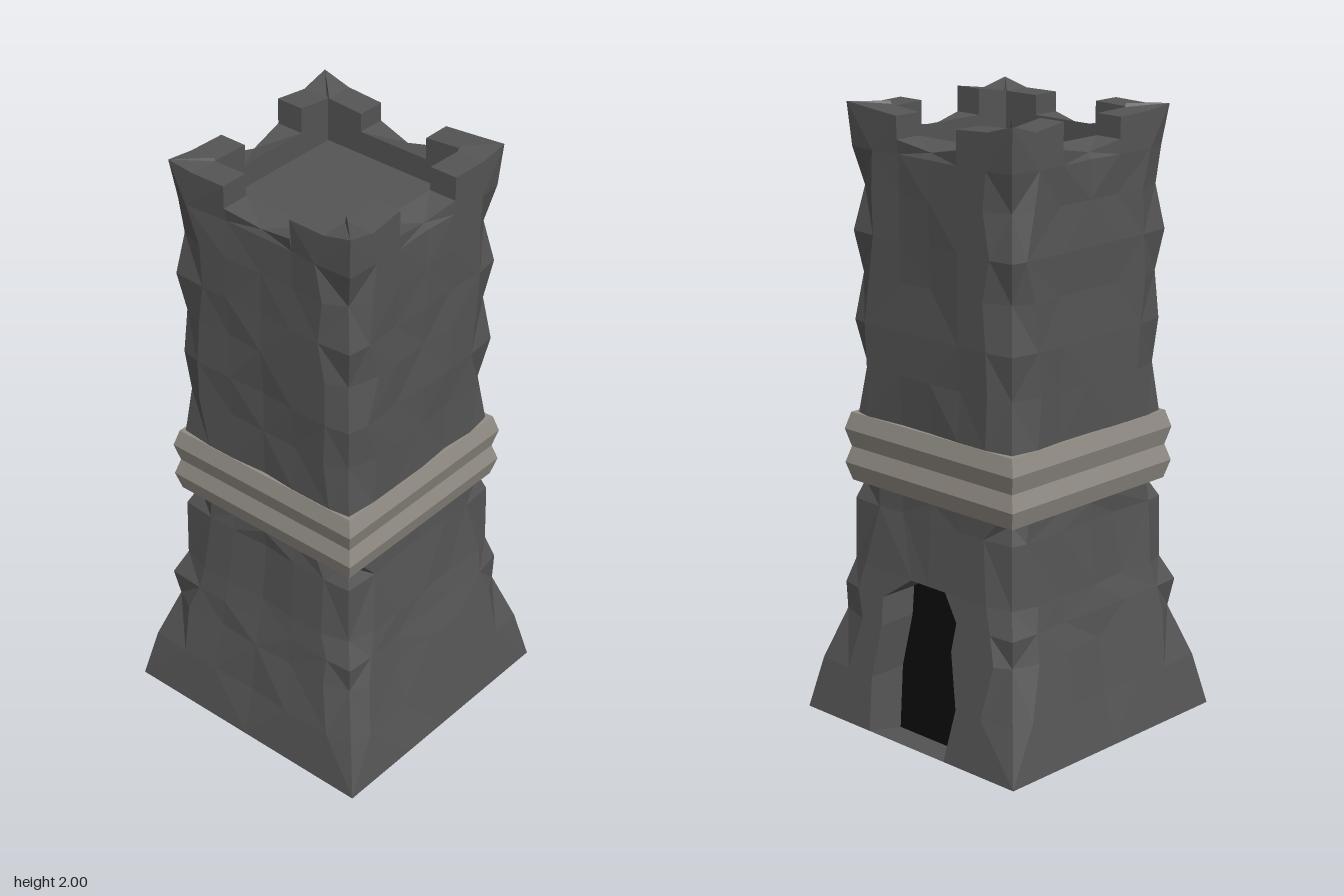
import * as THREE from 'three';

const V = (x, y, z) => new THREE.Vector3(x, y, z);

// Repeatable value from 0 to 1 for three numbers
const hash = (a, b, c) => {
  const s = Math.sin(a * 127.1 + b * 311.7 + c * 74.7 + 5) * 43758.5453;
  return s - Math.floor(s);
};

// Point on side k of a square: a runs along the side, h is the distance out
const onSide = (k, a, h, y) => V(a, y, h).applyAxisAngle(V(0, 1, 0), k * Math.PI / 2);

// Faceted mesh from a list of triangle corners
function facetMesh(name, points, material) {
  const geometry = new THREE.BufferGeometry().setFromPoints(points);
  geometry.computeVertexNormals();
  const mesh = new THREE.Mesh(geometry, material);
  mesh.name = name;
  return mesh;
}

// Joins closed rings of points, lowest first; skip(r, c) leaves holes
function loft(rings, skip = () => false) {
  const out = [];
  const add = (a, b, c) => {
    if (new THREE.Triangle(a, b, c).getArea() > 1e-7) out.push(a, b, c);
  };
  for (let r = 0; r < rings.length - 1; r++) {
    const n = rings[r].length;
    for (let c = 0; c < n; c++) {
      if (skip(r, c)) continue;
      const d = (c + 1) % n;
      const [p, q, s, t] = [rings[r][c], rings[r][d], rings[r + 1][d], rings[r + 1][c]];
      if ((r + c) % 2) { add(p, q, s); add(p, s, t); }
      else { add(p, q, t); add(q, s, t); }
    }
  }
  return out;
}

export function createModel() {
  const tower = new THREE.Group();
  tower.name = 'tower';
  const stone = new THREE.MeshStandardMaterial({ color: 0x555555, flatShading: true });
  const stoneInside = new THREE.MeshStandardMaterial({ color: 0x555555, flatShading: true, side: THREE.DoubleSide });
  const trim = new THREE.MeshStandardMaterial({ color: 0x918c84, flatShading: true });
  const dark = new THREE.MeshStandardMaterial({ color: 0x0a0a0a, side: THREE.DoubleSide });

  // Columns on each side; the doubled ones are the upright edges of a battlement gap
  const cols = [-1, -0.72, -0.375, -0.375, 0, 0.35, 0.35, 0.72];
  const isGap = i => i >= 3 && i <= 5;
  const rows = [0.03, 0.2, 0.37, 0.46, 0.54, 0.74, 0.8, 1.02, 1.18, 1.32, 1.47, 1.6, 1.74, 1.86];
  const doorTop = 4, doorSide = 2;
  const halfAt = y => y < 0.55 ? THREE.MathUtils.mapLinear(y, 0.03, 0.55, 0.455, 0.365)
    : y < 0.76 ? THREE.MathUtils.mapLinear(y, 0.55, 0.76, 0.365, 0.343) : 0.343;
  const ring = f => [0, 1, 2, 3].flatMap(k => cols.map((u, i) => f(k, u, i)));

  // Weathered walls: corners are chipped diagonally, faces only slightly
  const wallRings = rows.map((y, r) => ring((k, u, i) => {
    const h = halfAt(y);
    let a = u * h, out = h;
    const rnd = hash(k, r, u);
    if (i === 0 && r > 0) {
      const chip = (r % 2 ? 0.005 : 0.025) + 0.012 * rnd;
      a += chip;
      out -= chip;
    } else if (r > 0 && Math.abs(u) < 0.5 && !(k === doorSide && r <= doorTop)) {
      out -= rnd > 0.55 ? 0.01 * rnd : 0;
    } else if (r > 0) {
      a += (rnd - 0.5) * 0.07;
    }
    if (k === doorSide && r === doorTop && Math.abs(u) < 0.5) a *= 0.55;
    return onSide(k, a, out, y);
  }));

  // Battlements: outer rim, inner rim, then the sunken floor
  const topY = (k, u, i) => i === 4 ? 1.905 : isGap(i) ? 1.905
    : i === 0 ? 1.985 + 0.005 * k : 1.965 + 0.03 * hash(k, 20, u);
  const outerRim = ring((k, u, i) =>
    onSide(k, u * 0.343, i === 4 ? 0.325 : 0.343, i === 4 ? 1.88 : topY(k, u, i)));
  const inner = 0.25;
  const inward = (k, u, y) => onSide(k, u === -1 ? -inner : THREE.MathUtils.clamp(u * 0.343, -0.245, 0.245), inner, y);
  const innerRim = ring((k, u, i) => inward(k, u, topY(k, u, i)));
  const floorRing = ring((k, u) => inward(k, u, 1.83));
  const centre = y => ring(() => V(0, y, 0));

  const rings = [centre(0.03), ...wallRings, outerRim, innerRim, floorRing, centre(1.83)];
  const first = doorSide * cols.length + 3;
  const isDoor = (r, c) => r >= 1 && r <= doorTop && (c === first || c === first + 1);
  tower.add(facetMesh('walls', loft(rings, isDoor), stone));

  // Doorway: the edge of the opening pushed inward, with a sloping sill
  const edge = [];
  for (let r = 0; r <= doorTop; r++) edge.push(wallRings[r][first]);
  edge.push(wallRings[doorTop][first + 1]);
  for (let r = doorTop; r >= 0; r--) edge.push(wallRings[r][first + 2]);
  const back = edge.map(p => V(p.x, p.y < 0.04 ? 0 : p.y, p.z + 0.135));
  tower.add(facetMesh('doorFrame', loft([edge, back]), stoneInside));
  const middle = V(0, 0.25, -0.28);
  const panel = back.flatMap((p, i) => [p, back[(i + 1) % back.length], middle]);
  tower.add(facetMesh('doorOpening', panel, dark));

  // Pale double moulding around the waist
  const profile = [[0, 0.8], [0.345, 0.8], [0.361, 0.858], [0.346, 0.91], [0.361, 0.968], [0.346, 1.022], [0, 1.022]];
  const bandRings = profile.map(([h, y]) => [0, 1, 2, 3].map(k => onSide(k, -h, h, y)));
  tower.add(facetMesh('waistBand', loft(bandRings), trim));

  return tower;
}
